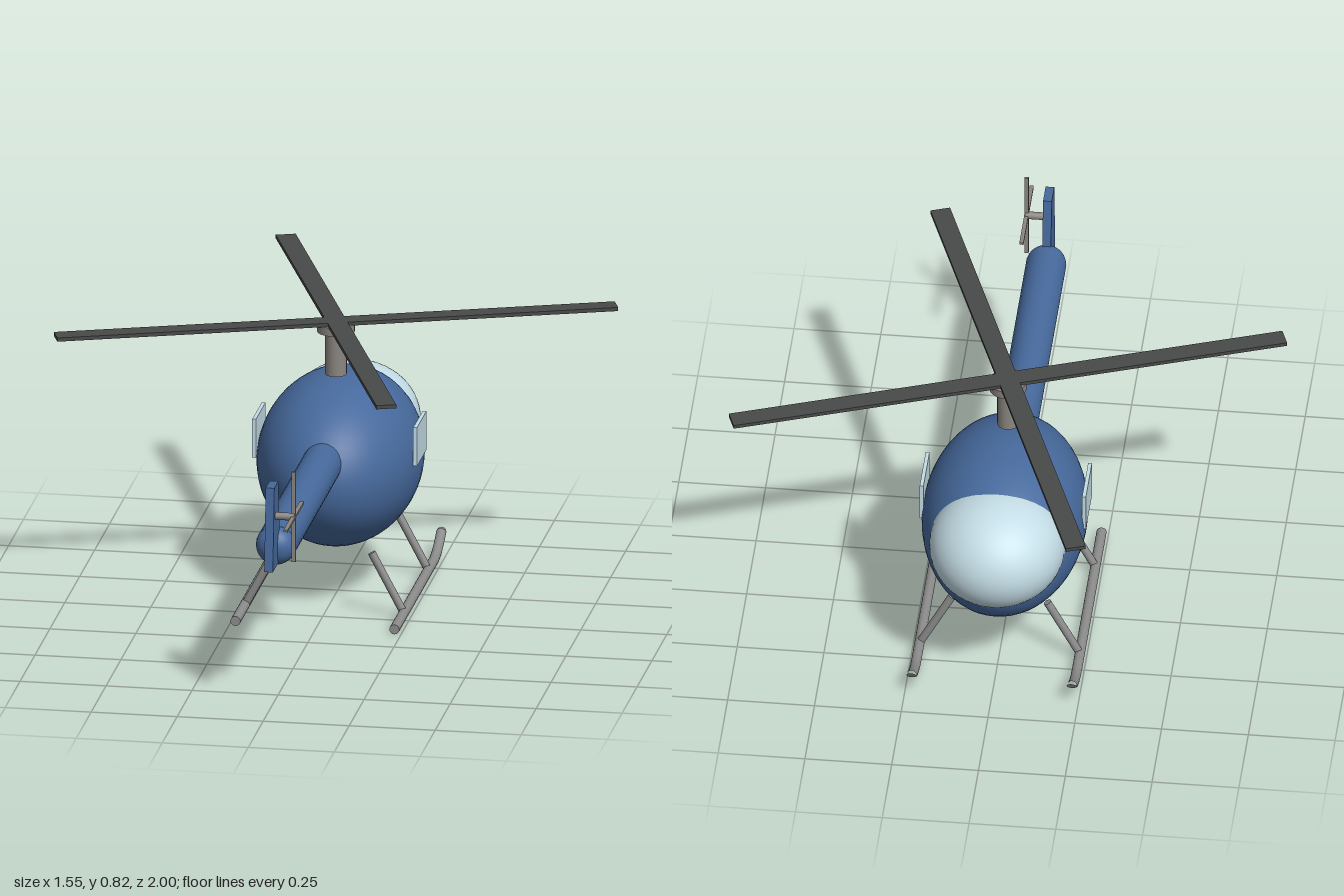
import * as THREE from 'three';

const mat = (color) => new THREE.MeshStandardMaterial({ color });

export function createModel() {
  const model = new THREE.Group();
  const paint = mat(0x46699c), glass = mat(0xc4dde6), metal = mat(0x8c8c8c);
  const mastMetal = mat(0x8a8680), bladeDark = mat(0x484a49);

  const add = (name, geometry, material, x = 0, y = 0, z = 0) => {
    const mesh = new THREE.Mesh(geometry, material);
    mesh.name = name;
    mesh.position.set(x, y, z);
    model.add(mesh);
    return mesh;
  };
  const ellipsoid = (rx, ry, rz) => new THREE.SphereGeometry(1, 48, 32).scale(rx, ry, rz);

  // Round bar between two points
  const bar = (name, a, b, radius, material) => {
    const from = new THREE.Vector3(...a), to = new THREE.Vector3(...b);
    const dir = to.clone().sub(from);
    const mesh = add(name, new THREE.CylinderGeometry(radius, radius, dir.length(), 24), material);
    mesh.position.copy(from).add(to).multiplyScalar(0.5);
    mesh.quaternion.setFromUnitVectors(new THREE.Vector3(0, 1, 0), dir.normalize());
  };

  // Cabin and bubble canopy; the nose points to -z
  add('cabin', ellipsoid(0.237, 0.251, 0.355), paint, 0, 0.391, -0.301);
  add('canopy', ellipsoid(0.195, 0.168, 0.205), glass, 0, 0.437, -0.502);

  // Tail boom with a rounded end
  bar('tailBoom', [0, 0.463, -0.15], [0, 0.463, 0.785], 0.058, paint);
  add('tailBoomEnd', ellipsoid(0.057, 0.057, 0.05), paint, 0, 0.463, 0.785);

  // Tapered tail fin, drawn in the z-y plane
  const fin = new THREE.Shape([[0.78, 0.42], [0.91, 0.42], [0.885, 0.665], [0.817, 0.665]]
    .map(([z, y]) => new THREE.Vector2(-z, y)));
  const finGeometry = new THREE.ExtrudeGeometry(fin, { depth: 0.025, bevelEnabled: false });
  finGeometry.translate(0, 0, -0.0125).rotateY(Math.PI / 2);
  add('tailFin', finGeometry, paint);

  // Tail rotor on the left-hand +x side of the fin
  bar('tailRotorShaft', [0, 0.575, 0.862], [0.068, 0.575, 0.862], 0.011, mastMetal);
  add('tailRotorBladeUpright', new THREE.BoxGeometry(0.012, 0.27, 0.007), mastMetal, 0.065, 0.575, 0.862);
  add('tailRotorBladeLevel', new THREE.BoxGeometry(0.012, 0.007, 0.27), mastMetal, 0.065, 0.575, 0.862);

  // Mast, hub and two crossed main blades
  bar('mast', [0, 0.66, -0.222], [0, 0.795, -0.222], 0.031, mastMetal);
  bar('rotorHub', [0, 0.788, -0.222], [0, 0.813, -0.222], 0.054, mastMetal);
  for (let i = 0; i < 2; i++) {
    const blade = add('mainRotorBlade', new THREE.BoxGeometry(1.632, 0.011, 0.058), bladeDark, 0, 0.817, -0.222);
    blade.rotation.y = Math.PI / 9 + i * Math.PI / 2;
  }

  for (const side of [-1, 1]) {
    // Flat side window
    add('sideWindow', new THREE.BoxGeometry(0.011, 0.116, 0.16), glass, side * 0.234, 0.46, -0.279);

    // Landing skid: straight tube with an upswept front end
    const x = side * 0.231;
    const point = (y, z) => new THREE.Vector3(x, y, z);
    const path = new THREE.CurvePath();
    path.add(new THREE.LineCurve3(point(0.015, 0.132), point(0.015, -0.52)));
    path.add(new THREE.QuadraticBezierCurve3(point(0.015, -0.52), point(0.015, -0.58), point(0.061, -0.656)));
    add('skid', new THREE.TubeGeometry(path, 64, 0.0145, 16, false), metal);
    for (const [y, z, turn] of [[0.015, 0.132, 0], [0.061, -0.656, Math.PI - 0.54]]) {
      const cap = add('skidCap', new THREE.CircleGeometry(0.0145, 16), metal, x, y, z);
      cap.rotation.x = turn;
      cap.material = metal.clone();
      cap.material.side = THREE.DoubleSide;
    }

    // Splayed skid struts
    for (const z of [-0.03, -0.439]) {
      bar('skidStrut', [side * 0.137, 0.19, z], [side * 0.23, 0.015, z], 0.0115, metal);
    }
  }
  return model;
}
